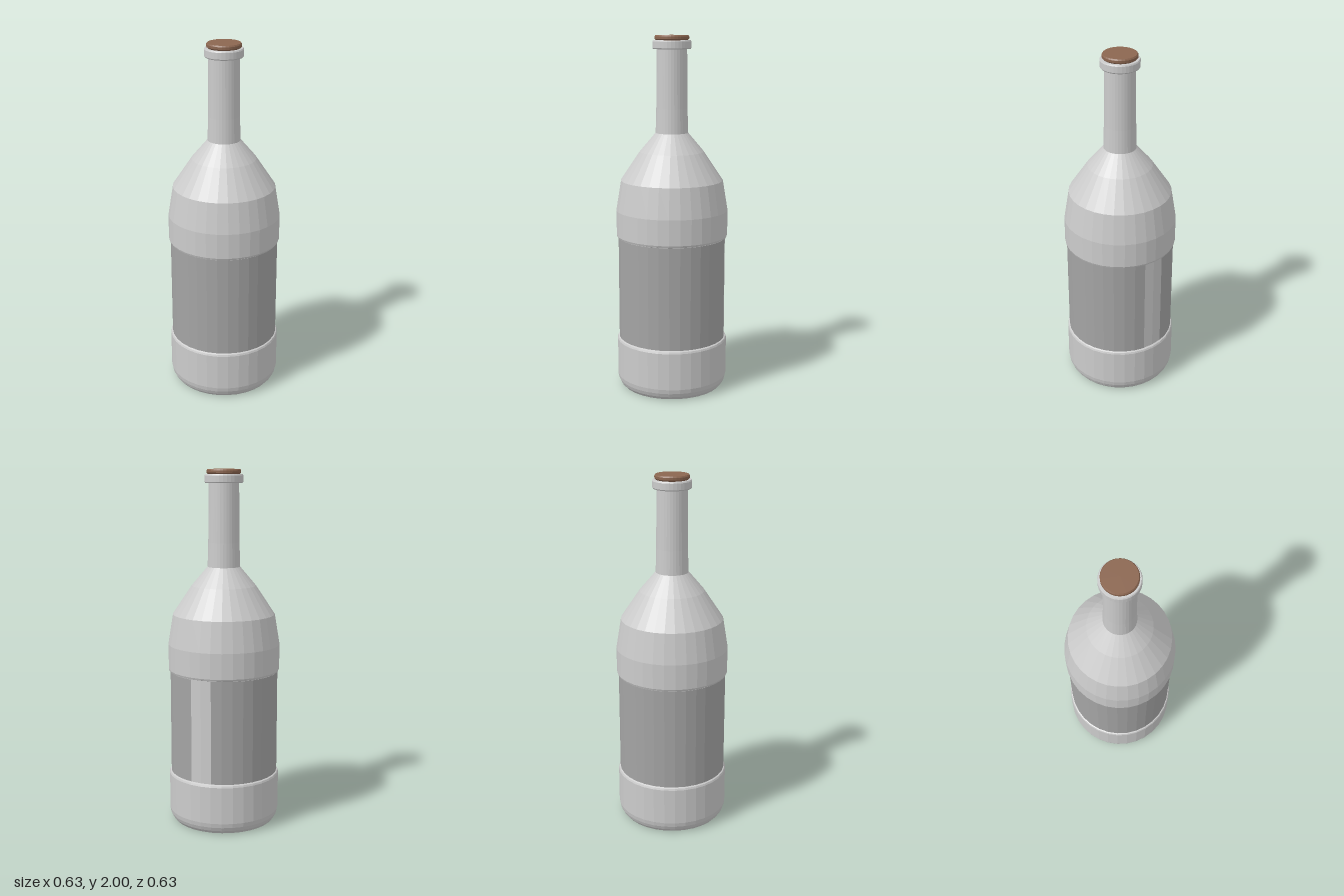
import * as THREE from 'three';

const SIDES = 32;

// Turned part from [radius, height] pairs listed bottom to top
function turned(name, profile, color = 0xcccccc, start = 0, sweep = Math.PI * 2) {
  const sides = Math.round(SIDES * sweep / (Math.PI * 2));
  const points = profile.map(([r, y]) => new THREE.Vector2(r, y));
  const mesh = new THREE.Mesh(
    new THREE.LatheGeometry(points, sides, start, sweep),
    new THREE.MeshStandardMaterial({ color, flatShading: true, side: THREE.DoubleSide })
  );
  mesh.name = name;
  return mesh;
}

export function createModel() {
  const bottle = new THREE.Group();
  bottle.name = 'bottle';

  // Body with a shallow recess for the label, and a sloping shoulder
  bottle.add(turned('body', [
    [0, 0], [0.285, 0], [0.3, 0.018], [0.31, 0.04], [0.315, 0.065],
    [0.315, 0.275], [0.311, 0.285], [0.302, 0.29],
    [0.302, 0.875], [0.311, 0.878], [0.315, 0.888],
    [0.315, 1.03], [0.287, 1.2], [0.18, 1.36], [0.091, 1.465],
  ]));

  // Slightly tapering neck
  bottle.add(turned('neck', [[0.091, 1.465], [0.087, 1.6], [0.084, 1.93]]));

  // Lip ring around the mouth
  bottle.add(turned('lip', [
    [0.084, 1.925], [0.103, 1.925], [0.107, 1.931],
    [0.107, 1.966], [0.103, 1.973], [0.08, 1.973],
  ]));

  // Wrapped label, leaving a narrow gap at the middle of the back
  const gap = Math.PI / 8;
  bottle.add(turned('label', [[0.302, 0.291], [0.305, 0.291], [0.305, 0.874], [0.302, 0.874]],
    0xa4a4a4, Math.PI + gap / 2, Math.PI * 2 - gap));

  // Cork stopper
  bottle.add(turned('cork', [
    [0, 1.95], [0.08, 1.95], [0.088, 1.973], [0.095, 1.98],
    [0.095, 1.993], [0.09, 2], [0, 2],
  ], 0x8b6650));

  return bottle;
}
